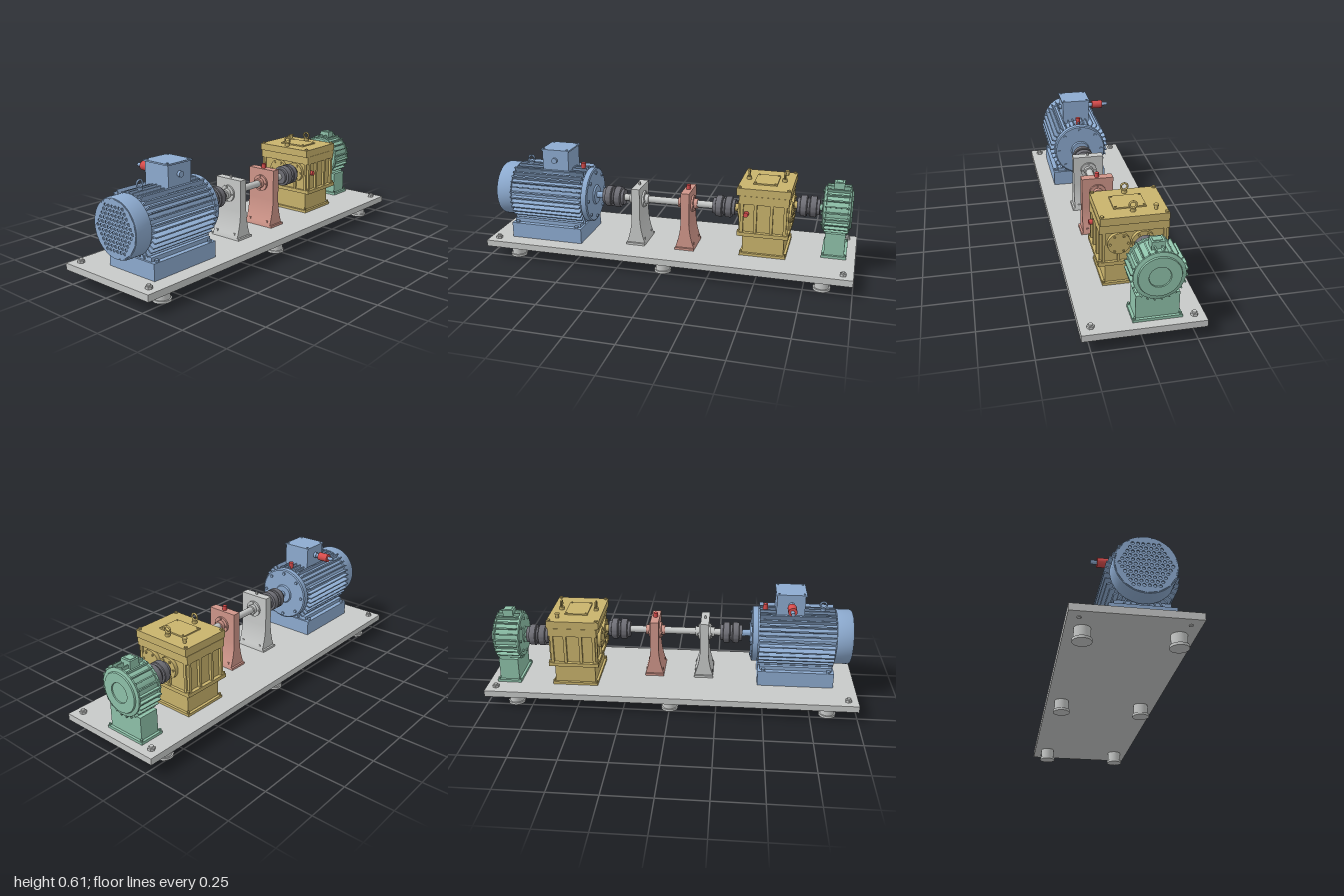
import * as THREE from 'three';
import { toCreasedNormals } from 'three/addons/utils/BufferGeometryUtils.js';

const mat = (name, hex) => {
  const m = new THREE.MeshStandardMaterial({ color: hex });
  m.name = name;
  return m;
};

export function createModel() {
  const grey = mat('steelGrey', 0xc8cac9), blue = mat('motorBlue', 0x8dabd0), yellow = mat('gearboxYellow', 0xc9b36c);
  const green = mat('brakeGreen', 0x8fc2aa), pink = mat('bearingPink', 0xd0968a);
  const red = mat('sensorRed', 0xd84c4c), dark = mat('couplingGrey', 0x6f6f76);
  const AXIS_Y = 0.34, IN_Z = 0.05, OUT_Z = -0.068;
  const root = new THREE.Group();
  root.name = 'driveTestRig';

  const group = (name) => {
    const g = new THREE.Group();
    g.name = name;
    root.add(g);
    return g;
  };
  const add = (parent, name, geo, m, x = 0, y = 0, z = 0) => {
    const mesh = new THREE.Mesh(geo, m);
    mesh.name = name;
    mesh.position.set(x, y, z);
    parent.add(mesh);
    return mesh;
  };
  // Box given by its limits on each axis
  const box = (p, name, m, x0, x1, y0, y1, z0, z1) =>
    add(p, name, new THREE.BoxGeometry(x1 - x0, y1 - y0, z1 - z0), m, (x0 + x1) / 2, (y0 + y1) / 2, (z0 + z1) / 2);
  // Cylinder centred on a point, along 'x', 'y' or 'z'
  const cyl = (p, name, m, axis, r, len, x, y, z, sides = 24) => {
    const g = new THREE.CylinderGeometry(r, r, len, sides);
    if (axis === 'x') g.rotateZ(-Math.PI / 2);
    if (axis === 'z') g.rotateX(Math.PI / 2);
    return add(p, name, sides === 6 ? toCreasedNormals(g, 0.5) : g, m, x, y, z);
  };
  // Turned part along x from [radius, x] points
  const turned = (p, name, m, pts, y, z, sides = 48) => {
    const g = new THREE.LatheGeometry(pts.map(([r, x]) => new THREE.Vector2(r, x)), sides).rotateZ(-Math.PI / 2);
    return add(p, name, toCreasedNormals(g, 0.5), m, 0, y, z);
  };
  // Ring of hex bolts on a face looking along x
  const boltRing = (p, m, n, R, r, x, y, z, len = 0.012) => {
    for (let i = 0; i < n; i++) {
      const a = (i / n) * Math.PI * 2;
      cyl(p, 'bolt', m, 'x', r, len, x, y + R * Math.sin(a), z + R * Math.cos(a), 6);
    }
  };
  // Four upright hex bolts on a rectangle
  const cornerBolts = (p, m, x0, x1, y, z0, z1, r = 0.009, h = 0.012) => {
    for (const x of [x0, x1]) for (const z of [z0, z1]) cyl(p, 'cornerBolt', m, 'y', r, h, x, y + h / 2, z, 6);
  };
  // Lifting eye: stem and ring
  const eye = (p, m, x, y, z, turn) => {
    cyl(p, 'eyeStem', m, 'y', 0.013, 0.016, x, y + 0.008, z);
    add(p, 'eyeRing', new THREE.TorusGeometry(0.017, 0.005, 10, 28), m, x, y + 0.034, z).rotation.y = turn;
  };

  // Base plate, feet and anchor bolts
  const base = group('base');
  box(base, 'basePlate', grey, -1, 1, 0.065, 0.1, -0.293, 0.293);
  for (const z of [-0.215, 0.215]) for (const x of [-0.845, 0, 0.845]) {
    cyl(base, 'footPost', grey, 'y', 0.038, 0.065, x, 0.0325, z, 32);
    cyl(base, 'footPad', grey, 'y', 0.045, 0.013, x, 0.0065, z, 32);
  }
  for (const x of [-0.947, 0.947]) for (const z of [-0.242, 0.242]) {
    cyl(base, 'anchorNut', grey, 'y', 0.018, 0.013, x, 0.1065, z, 6);
    cyl(base, 'anchorStud', grey, 'y', 0.01, 0.06, x, 0.091, z, 16);
  }

  // Motor body: fan cover, barrel, drive-end bell and shaft
  const motor = group('motor');
  turned(motor, 'motorBody', blue, [[0, -0.945], [0.141, -0.945], [0.141, -0.966], [0.145, -0.966], [0.15, -0.955],
    [0.15, -0.88], [0.14, -0.88], [0.14, -0.465], [0.151, -0.465], [0.151, -0.436], [0.144, -0.431],
    [0.055, -0.431], [0.05, -0.422], [0.018, -0.422], [0.018, -0.375], [0, -0.375]], AXIS_Y, IN_Z, 64);
  // Perforated fan grille
  const grille = new THREE.Shape().absarc(0, 0, 0.142, 0, Math.PI * 2);
  for (let r = -5; r <= 5; r++) for (let c = -6; c <= 6; c++) {
    const u = (c + (r % 2 ? 0.5 : 0)) * 0.024, v = r * 0.021;
    if (Math.hypot(u, v) < 0.122) grille.holes.push(new THREE.Path().absarc(u, v, 0.0075, 0, Math.PI * 2, true));
  }
  const grilleGeo = new THREE.ExtrudeGeometry(grille, { depth: 0.006, bevelEnabled: false, curveSegments: 8 });
  add(motor, 'fanGrille', grilleGeo.rotateY(-Math.PI / 2), blue, -0.962, AXIS_Y, IN_Z);
  // Cooling fins, shorter at top and bottom
  for (let i = 0; i < 36; i++) {
    const a = (i * Math.PI) / 18;
    const R = Math.abs(Math.sin(a)) > 0.9 ? 0.156 : 0.173;
    const fin = add(motor, 'coolingFin', new THREE.BoxGeometry(0.405, R - 0.13, 0.007), blue, -0.6725,
      AXIS_Y + Math.sin(a) * (R + 0.13) / 2, IN_Z + Math.cos(a) * (R + 0.13) / 2);
    fin.rotation.x = Math.PI / 2 - a;
  }
  boltRing(motor, blue, 8, 0.127, 0.009, -0.429, AXIS_Y, IN_Z);
  box(motor, 'motorFoot', blue, -0.88, -0.47, 0.1, 0.185, -0.106, 0.206);
  box(motor, 'motorSaddle', blue, -0.87, -0.48, 0.185, 0.206, -0.08, 0.18);
  cornerBolts(motor, blue, -0.85, -0.5, 0.185, -0.093, 0.193, 0.011, 0.011);
  eye(motor, blue, -0.81, 0.488, IN_Z, 0);
  // Terminal box
  box(motor, 'terminalBox', blue, -0.705, -0.555, 0.465, 0.597, -0.026, 0.131);
  box(motor, 'terminalLid', blue, -0.712, -0.55, 0.597, 0.605, -0.031, 0.136);
  cornerBolts(motor, blue, -0.698, -0.564, 0.605, -0.016, 0.121, 0.006, 0.004);
  cyl(motor, 'blankingPlug', blue, 'z', 0.015, 0.016, -0.633, 0.546, 0.138);
  cyl(motor, 'cableGland', blue, 'z', 0.016, 0.016, -0.633, 0.546, -0.033);
  cyl(motor, 'glandNeck', blue, 'z', 0.013, 0.02, -0.633, 0.546, -0.047);
  cyl(motor, 'cableStub', blue, 'z', 0.01, 0.125, -0.633, 0.546, -0.0905);
  cyl(motor, 'currentSensor', red, 'z', 0.0235, 0.061, -0.633, 0.546, -0.09);
  cyl(motor, 'motorSensor', red, 'y', 0.013, 0.04, -0.5, 0.499, IN_Z);

  // Flexible couplings: hubs, paired flanges and a slim waist
  for (const [x, z] of [[-0.32, IN_Z], [0.3, IN_Z], [0.735, OUT_Z]]) {
    const half = [[0.043, 0.06], [0.043, 0.045], [0.055, 0.042], [0.057, 0.036], [0.057, 0.011], [0.054, 0.007], [0.044, 0.005]];
    const left = half.map(([r, d]) => [r, x - d]);
    const right = half.map(([r, d]) => [r, x + d]).reverse();
    turned(group('coupling'), 'couplingBody', dark, [[0, x - 0.06], ...left, ...right, [0, x + 0.06]], AXIS_Y, z);
  }

  // Line shaft
  const line = group('lineShaft');
  cyl(line, 'shaft', grey, 'x', 0.019, 0.51, -0.01, AXIS_Y, IN_Z, 32);

  // Bearing pedestals with flared feet
  const pedestal = (name, m, x) => {
    const p = group(name);
    const s = new THREE.Shape();
    s.moveTo(-0.052, 0.1).lineTo(0.052, 0.1).lineTo(0.05, 0.115);
    s.quadraticCurveTo(0.026, 0.18, 0.023, 0.25).lineTo(0.023, 0.42).lineTo(-0.023, 0.42).lineTo(-0.023, 0.25);
    s.quadraticCurveTo(-0.026, 0.18, -0.05, 0.115).lineTo(-0.052, 0.1);
    const g = new THREE.ExtrudeGeometry(s, { depth: 0.17, bevelEnabled: false, curveSegments: 10 });
    add(p, 'pedestalBody', toCreasedNormals(g, 0.5), m, x, 0, IN_Z - 0.085);
    for (const e of [-1, 1]) {
      box(p, 'pedestalFoot', m, x - 0.052, x + 0.052, 0.1, 0.112, IN_Z + e * 0.0905 - 0.0055, IN_Z + e * 0.0905 + 0.0055);
      cyl(p, 'bearingCap', m, 'x', 0.045, 0.012, x + e * 0.027, AXIS_Y, IN_Z, 32);
      cyl(p, 'bearingCollar', m, 'x', 0.027, 0.03, x + e * 0.038, AXIS_Y, IN_Z, 32);
      boltRing(p, m, 4, 0.036, 0.005, x + e * 0.035, AXIS_Y, IN_Z, 0.008);
      for (const z of [-0.06, 0.06]) cyl(p, 'footBolt', m, 'y', 0.008, 0.025, x + e * 0.041, 0.1225, IN_Z + z, 6);
    }
    return p;
  };
  const first = pedestal('bearingPedestal', grey, -0.175);
  cyl(first, 'greaseNipple', grey, 'y', 0.006, 0.016, -0.175, 0.428, IN_Z, 12);
  const second = pedestal('sensedBearingPedestal', pink, 0.1);
  cyl(second, 'bearingSensor', red, 'y', 0.012, 0.024, 0.1, 0.432, IN_Z);

  // Gearbox housing, stacked from the foot up
  const gear = group('gearbox');
  box(gear, 'gearboxFoot', yellow, 0.397, 0.643, 0.1, 0.114, -0.185, 0.127);
  box(gear, 'gearboxPlinth', yellow, 0.41, 0.63, 0.114, 0.22, -0.17, 0.113);
  box(gear, 'lowerFlange', yellow, 0.385, 0.655, 0.22, 0.24, -0.203, 0.151);
  box(gear, 'housing', yellow, 0.4, 0.64, 0.24, 0.44, -0.183, 0.129);
  box(gear, 'upperBand', yellow, 0.39, 0.65, 0.395, 0.44, -0.197, 0.143);
  box(gear, 'lid', yellow, 0.377, 0.657, 0.44, 0.48, -0.195, 0.141);
  box(gear, 'inspectionCover', yellow, 0.452, 0.575, 0.48, 0.487, -0.1, 0.06);
  cornerBolts(gear, yellow, 0.462, 0.565, 0.487, -0.09, 0.05, 0.005, 0.004);
  cornerBolts(gear, yellow, 0.391, 0.643, 0.48, -0.183, 0.129, 0.009, 0.008);
  cornerBolts(gear, yellow, 0.392, 0.648, 0.24, -0.193, 0.141, 0.008, 0.01);
  cornerBolts(gear, yellow, 0.404, 0.636, 0.114, -0.177, 0.119, 0.007, 0.012);
  for (const x of [0.407, 0.478, 0.562, 0.633]) {
    box(gear, 'sideRib', yellow, x - 0.008, x + 0.008, 0.24, 0.4, -0.197, 0.143);
  }
  for (const z of [-0.176, 0.122]) box(gear, 'endRib', yellow, 0.39, 0.65, 0.24, 0.4, z - 0.007, z + 0.007);
  for (const z of [IN_Z, OUT_Z]) {
    box(gear, 'capGusset', yellow, 0.387, 0.653, 0.24, 0.31, z - 0.006, z + 0.006);
    for (const e of [-1, 1]) {
      cyl(gear, 'shaftCap', yellow, 'x', 0.056, 0.024, 0.52 + e * 0.128, AXIS_Y, z, 40);
      boltRing(gear, yellow, 6, 0.044, 0.006, 0.52 + e * 0.142, AXIS_Y, z, 0.008);
    }
  }
  cyl(gear, 'inputShaft', yellow, 'x', 0.02, 0.06, 0.38, AXIS_Y, IN_Z);
  cyl(gear, 'outputShaft', yellow, 'x', 0.02, 0.06, 0.66, AXIS_Y, OUT_Z);
  for (const x of [0.416, 0.605]) eye(gear, yellow, x, 0.48, -0.027, Math.PI / 2);
  cyl(gear, 'breatherStem', yellow, 'y', 0.009, 0.02, 0.605, 0.49, -0.14);
  cyl(gear, 'breatherCap', yellow, 'y', 0.013, 0.006, 0.605, 0.502, -0.14);
  cyl(gear, 'gearboxSensor', red, 'z', 0.013, 0.032, 0.43, AXIS_Y, 0.139);

  // Brake unit: ribbed drum on a plinth
  const brake = group('brake');
  turned(brake, 'brakeDrum', green, [[0, 0.79], [0.018, 0.79], [0.018, 0.807], [0.045, 0.807], [0.045, 0.813], [0.114, 0.813],
    [0.121, 0.818], [0.121, 0.83], [0.116, 0.832], [0.116, 0.943], [0.121, 0.945], [0.121, 0.954],
    [0.103, 0.958], [0.1, 0.965], [0.052, 0.965], [0.05, 0.96], [0, 0.96]], AXIS_Y, OUT_Z, 56);
  for (let i = 0; i < 24; i++) {
    const a = ((i + 0.5) * Math.PI) / 12;
    const rib = add(brake, 'drumRib', new THREE.BoxGeometry(0.125, 0.022, 0.007), green, 0.8875,
      AXIS_Y + Math.sin(a) * 0.122, OUT_Z + Math.cos(a) * 0.122);
    rib.rotation.x = Math.PI / 2 - a;
  }
  boltRing(brake, green, 8, 0.095, 0.007, 0.811, AXIS_Y, OUT_Z);
  box(brake, 'connectorBox', green, 0.86, 0.915, 0.44, 0.492, -0.099, -0.037);
  box(brake, 'connectorLid', green, 0.87, 0.905, 0.492, 0.495, -0.09, -0.046);
  box(brake, 'brakePlinth', green, 0.835, 0.94, 0.114, 0.235, -0.171, 0.035);
  box(brake, 'brakeFoot', green, 0.822, 0.953, 0.1, 0.114, -0.185, 0.049);
  cornerBolts(brake, green, 0.829, 0.946, 0.114, -0.177, 0.041, 0.0065, 0.011);

  return root;
}
